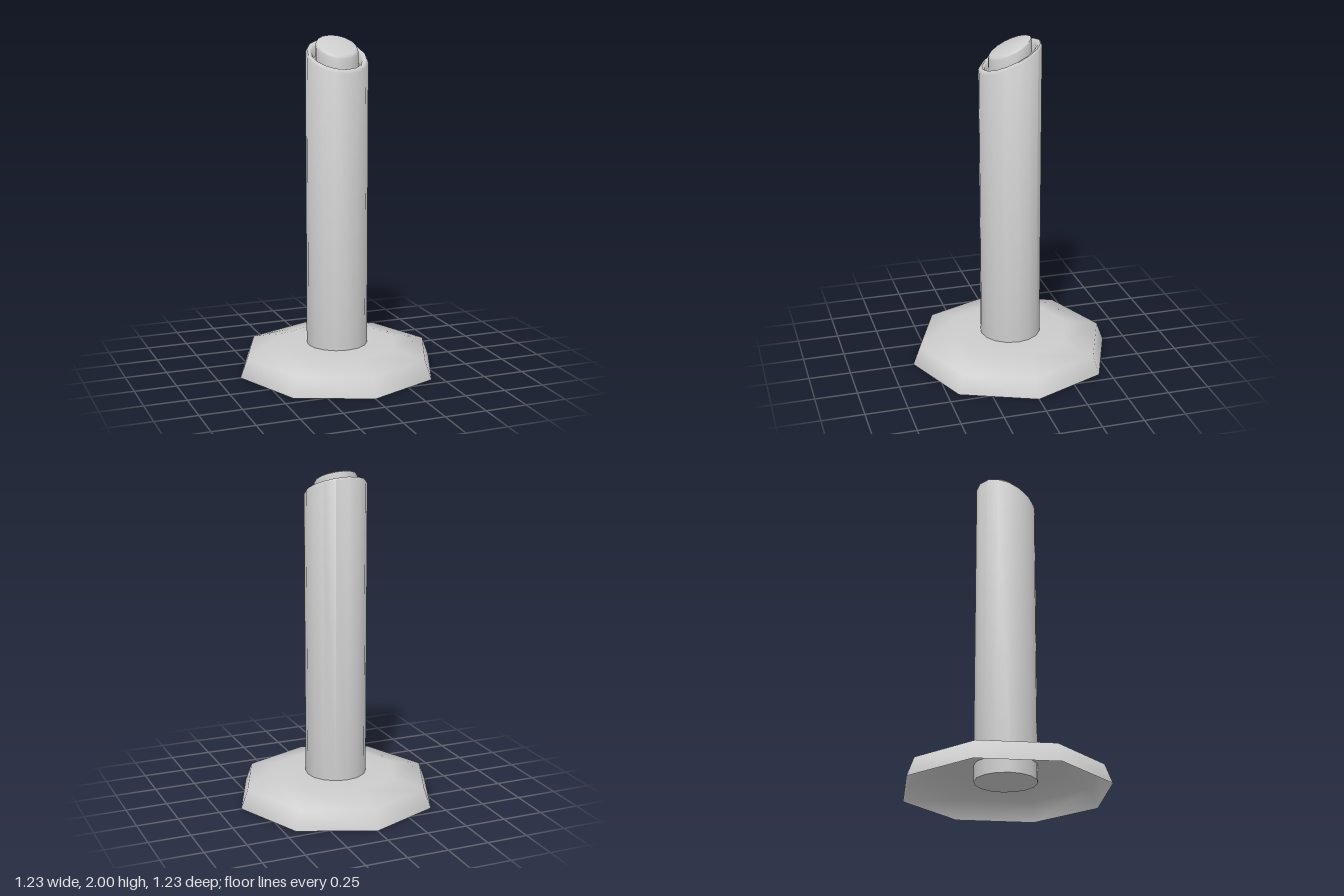
import * as THREE from 'three';
import { toCreasedNormals } from 'three/addons/utils/BufferGeometryUtils.js';

const SLOPE = 0.45; // how steeply the top is cut, falling toward the front

// Turned part from [radius, height] points; points above shearFrom follow the slanted cut
function turned(name, profile, sides, crease, shearFrom = Infinity, side = THREE.FrontSide) {
  const geometry = new THREE.LatheGeometry(profile.map(([r, y]) => new THREE.Vector2(r, y)), sides);
  const p = geometry.attributes.position;
  for (let i = 0; i < p.count; i++) {
    if (p.getY(i) > shearFrom) p.setY(i, p.getY(i) - SLOPE * p.getZ(i));
  }
  const mesh = new THREE.Mesh(
    toCreasedNormals(geometry, crease),
    new THREE.MeshStandardMaterial({ color: 0xcccccc, side })
  );
  mesh.name = name;
  return mesh;
}

export function createModel() {
  const group = new THREE.Group();
  group.name = 'buttonPost';

  // Eight-sided foot, an open shell underneath
  group.add(turned('base',
    [[0.613, 0], [0.57, 0.115], [0.37, 0.156], [0.17, 0.156]],
    8, 1.2, Infinity, THREE.DoubleSide));

  // Post with closed bottom, rounded slanted rim and a groove around the button
  group.add(turned('post',
    [[0, 0.06], [0.183, 0.06], [0.183, 1.882], [0.174, 1.895], [0.16, 1.895],
      [0.147, 1.882], [0.14, 1.835], [0, 1.835]],
    16, 0.9, 1));

  // Slanted push button with a softened edge
  group.add(turned('button',
    [[0.125, 1.82], [0.125, 1.934], [0.121, 1.944], [0.11, 1.95], [0, 1.95]],
    16, 0.9, 1));

  return group;
}
